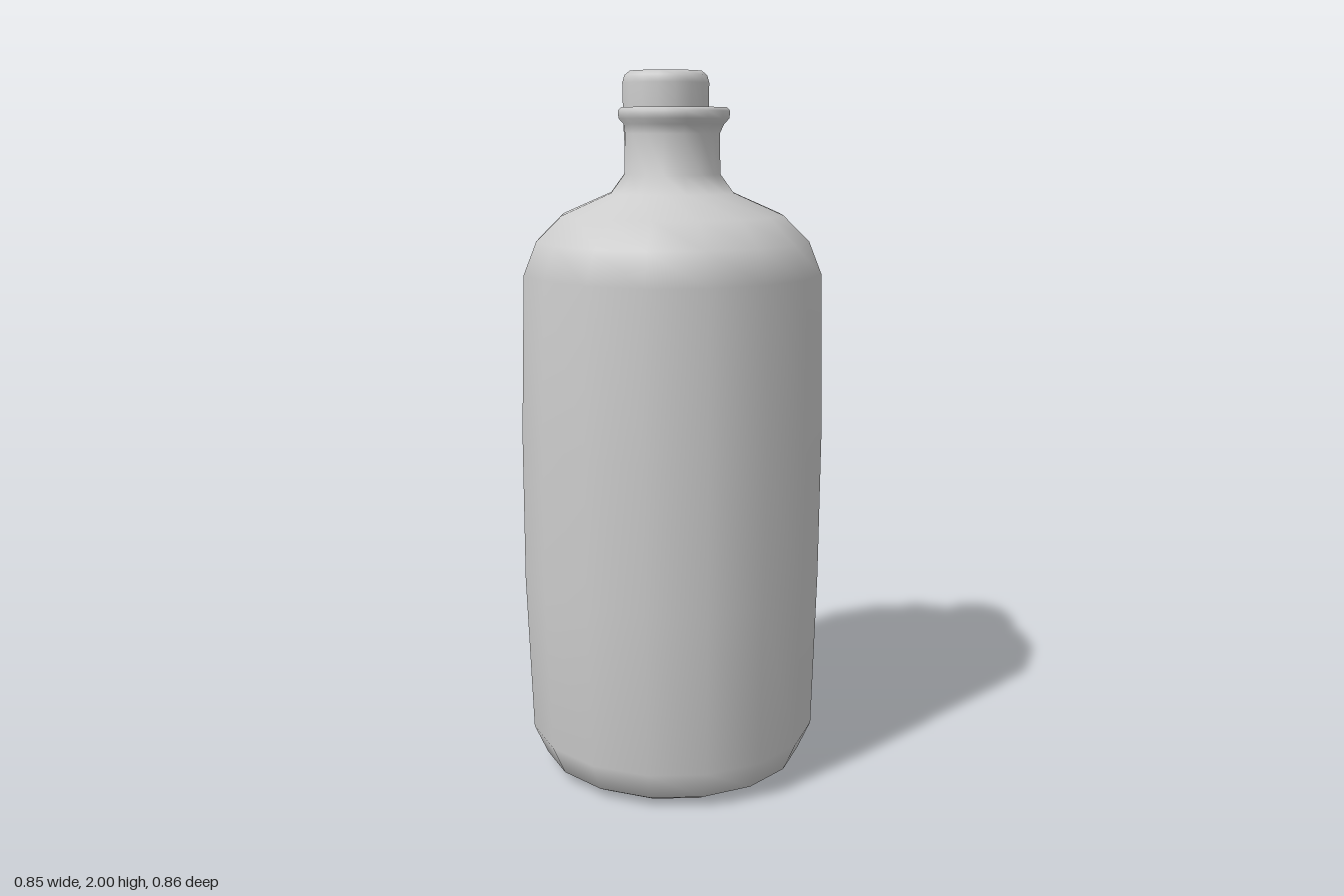
import * as THREE from 'three';
import { mergeVertices } from 'three/addons/utils/BufferGeometryUtils.js';

const SIDES = 16;
const TURN = THREE.MathUtils.degToRad(12.3);

// Turned solid with one smooth skin; shift(y) gives the hand-made sideways drift of each ring.
function turned(name, profile, shift = () => [0, 0]) {
  const points = profile.map(([r, y]) => new THREE.Vector2(r, y));
  let geometry = new THREE.LatheGeometry(points, SIDES, TURN, Math.PI * 2);
  geometry.deleteAttribute('uv');
  geometry.deleteAttribute('normal');
  const pos = geometry.attributes.position;
  for (let i = 0; i < pos.count; i++) {
    const [dx, dz] = shift(pos.getY(i));
    pos.setX(i, pos.getX(i) + dx);
    pos.setZ(i, pos.getZ(i) + dz);
  }
  geometry = mergeVertices(geometry, 1e-4);
  geometry.computeVertexNormals();
  const material = new THREE.MeshStandardMaterial({ color: 0xcccccc, side: THREE.DoubleSide });
  const mesh = new THREE.Mesh(geometry, material);
  mesh.name = name;
  return mesh;
}

export function createModel() {
  const model = new THREE.Group();
  model.name = 'corkedBottle';

  // Base, slightly bulging walls, rounded shoulder, neck, rolled lip and inner neck wall
  const bottle = [
    [0, 0.005], [0.325, 0.005], [0.378, 0.035], [0.416, 0.12],
    [0.429, 0.58], [0.431, 1.0], [0.418, 1.45],
    [0.382, 1.54], [0.31, 1.61], [0.172, 1.67], [0.135, 1.72],
    [0.132, 1.83], [0.14, 1.855], [0.154, 1.87], [0.156, 1.89],
    [0.147, 1.9], [0.131, 1.9], [0.124, 1.885], [0.12, 1.84], [0.118, 1.72], [0, 1.69],
  ];
  const drift = (y) => {
    if (Math.abs(y - 1.0) < 0.01) return [-0.007, -0.005];
    if (Math.abs(y - 0.58) < 0.01) return [0.001, 0.005];
    return y > 1.84 ? [0.003, -0.003] : [0, 0];
  };
  model.add(turned('bottle', bottle, drift));

  // Stopper pushed in off centre, touching the neck on one side
  const cork = [
    [0, 1.72], [0.1, 1.72], [0.113, 1.74], [0.119, 1.86],
    [0.121, 1.965], [0.115, 1.985], [0.1, 1.997], [0, 2.0],
  ];
  const stopper = turned('cork', cork);
  stopper.position.x = -0.025;
  model.add(stopper);

  return model;
}
